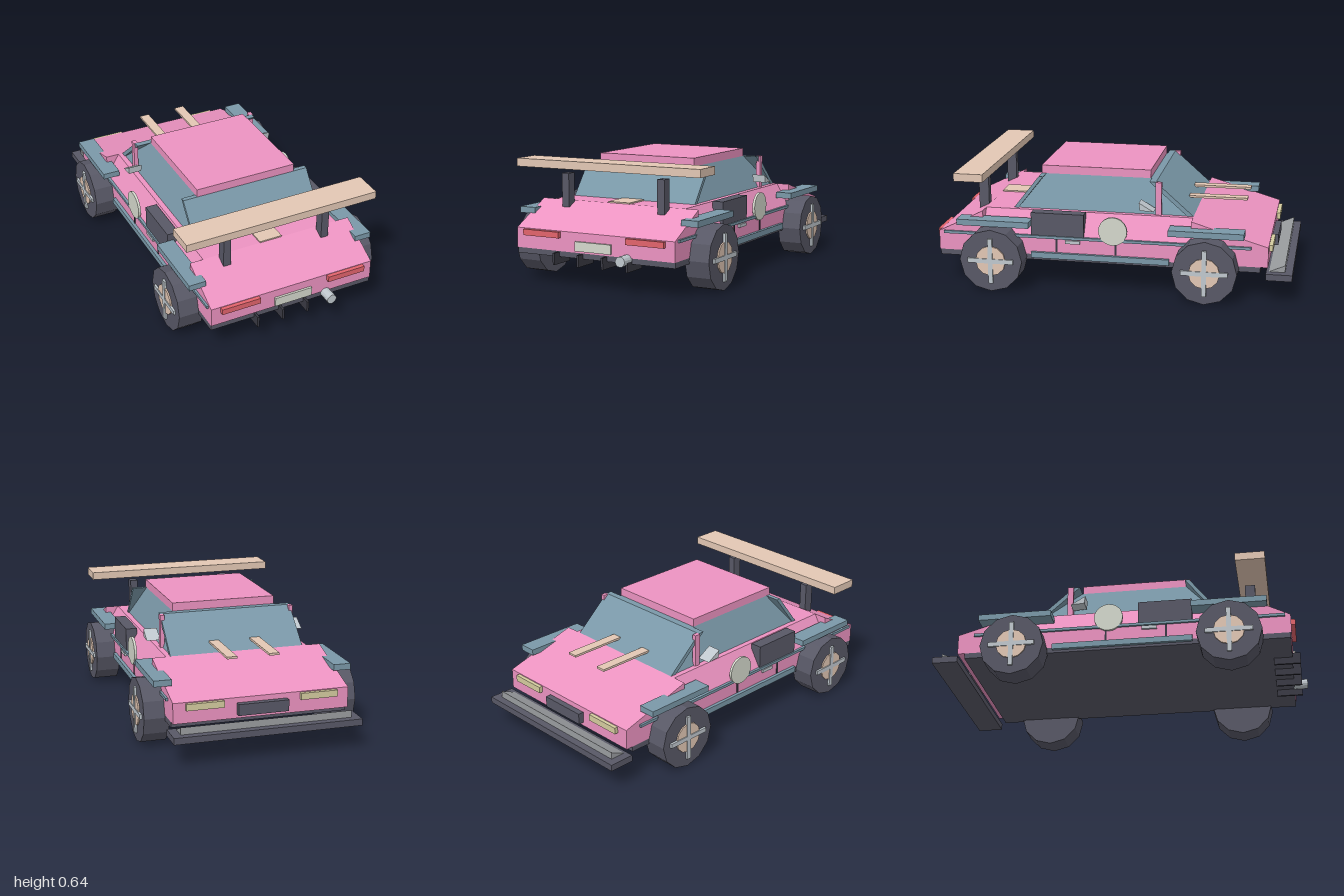
import * as THREE from 'three';

const mat = (color) => new THREE.MeshStandardMaterial({ color, flatShading: true });

export function createModel() {
  const car = new THREE.Group();
  car.name = 'car';
  const pink = mat(0xec93c1), blue = mat(0x7a98a8), dark = mat(0x585866), black = mat(0x3a3a44);
  const peach = mat(0xe2c7b4), silver = mat(0xc0c8ce), pale = mat(0xd4d8cc);
  const red = mat(0xe2646c), cream = mat(0xd5cc9f), grey = mat(0x9a9da0);

  const add = (name, geo, m) => {
    const mesh = new THREE.Mesh(geo, m);
    mesh.name = name;
    car.add(mesh);
    return mesh;
  };
  // box from its min and max along each axis
  const box = (name, m, x0, x1, y0, y1, z0, z1) =>
    add(name, new THREE.BoxGeometry(Math.abs(x1 - x0), y1 - y0, z1 - z0)
      .translate((x0 + x1) / 2, (y0 + y1) / 2, (z0 + z1) / 2), m);
  const pairBox = (name, m, x0, x1, ...rest) => {
    box(name + 'Left', m, x0, x1, ...rest);
    box(name + 'Right', m, -x1, -x0, ...rest);
  };
  const extrude = (pts, depth) => new THREE.ExtrudeGeometry(
    new THREE.Shape(pts.map(([a, b]) => new THREE.Vector2(a, b))), { depth, bevelEnabled: false });
  // side profile of (z, y) points, extruded across x
  const prism = (name, m, pts, x0, x1) =>
    add(name, extrude(pts, x1 - x0).rotateY(-Math.PI / 2).translate(x1, 0, 0), m);
  // cylinder lying along x
  const disc = (name, m, r, x, y, z, w, sides) =>
    add(name, new THREE.CylinderGeometry(r, r, w, sides).rotateZ(Math.PI / 2).translate(x, y, z), m);

  // body
  box('chassis', dark, -0.47, 0.47, 0.16, 0.19, -0.83, 0.925);
  box('lowerBody', pink, -0.47, 0.47, 0.19, 0.295, -0.87, 0.93);
  prism('hood', pink, [[-0.87, 0.295], [-0.46, 0.295], [-0.46, 0.42], [-0.87, 0.3]], -0.47, 0.47);
  prism('rearDeck', pink, [[0.68, 0.295], [0.93, 0.295], [0.68, 0.42]], -0.47, 0.47);
  add('shoulders', extrude([[-0.47, 0.295], [0.47, 0.295], [0.395, 0.42], [-0.395, 0.42]], 1.14)
    .translate(0, 0, -0.46), pink);
  pairBox('sideTrim', blue, 0.46, 0.482, 0.285, 0.3, -0.78, 0.9);
  pairBox('sideSkirt', blue, 0.45, 0.488, 0.175, 0.207, -0.345, 0.41);

  // cabin glass: a box tapered at the top, with full-width front and rear panes
  const glass = new THREE.BoxGeometry(1, 0.18, 1).translate(0, 0.51, 0);
  const p = glass.attributes.position;
  for (let i = 0; i < p.count; i++) {
    const top = p.getY(i) > 0.5, back = p.getZ(i) > 0;
    p.setX(i, Math.sign(p.getX(i)) * (top ? 0.29 : 0.365));
    p.setZ(i, back ? (top ? 0.38 : 0.52) : (top ? -0.24 : -0.45));
  }
  glass.computeVertexNormals();
  add('sideWindows', glass, blue);
  prism('windshield', blue, [[-0.46, 0.42], [-0.425, 0.42], [-0.22, 0.6], [-0.255, 0.6]], -0.37, 0.37);
  prism('rearWindow', blue, [[0.505, 0.42], [0.53, 0.42], [0.39, 0.6], [0.365, 0.6]], -0.37, 0.37);
  box('roof', pink, -0.29, 0.29, 0.6, 0.645, -0.215, 0.39);
  pairBox('pillar', pink, 0.355, 0.378, 0.42, 0.6, -0.287, -0.255);

  // wheels and fenders
  for (const z of [-0.545, 0.61]) {
    pairBox('fender', blue, 0.44, 0.535, 0.352, 0.385, z - 0.2, z + 0.2);
    for (const s of [-1, 1]) {
      disc('tire', dark, 0.1725, s * 0.5125, 0.175, z, 0.135, 12);
      disc('hub', peach, 0.083, s * 0.58, 0.175, z, 0.015, 12);
      const a = s * 0.572, b = s * 0.592;
      box('spokeVertical', silver, a, b, 0.05, 0.3, z - 0.0125, z + 0.0125);
      box('spokeHorizontal', silver, a, b, 0.1625, 0.1875, z - 0.125, z + 0.125);
    }
  }

  // side details
  pairBox('sideScoop', dark, 0.41, 0.474, 0.295, 0.426, 0.12, 0.41);
  for (const z of [-0.055, 0.27]) pairBox('doorSeam', black, 0.46, 0.474, 0.21, 0.29, z - 0.005, z + 0.005);
  pairBox('doorHandle', silver, 0.46, 0.482, 0.262, 0.28, 0.14, 0.22);
  for (const s of [-1, 1]) {
    disc('doorRoundel', pale, 0.078, s * 0.476, 0.345, -0.04, 0.014, 20);
    prism('mirror', silver, [[-0.255, 0.455], [-0.18, 0.46], [-0.175, 0.502]],
      s > 0 ? 0.37 : -0.445, s > 0 ? 0.445 : -0.37);
  }

  // nose
  box('splitter', dark, -0.5, 0.5, 0.13, 0.165, -1, -0.86);
  prism('splitterRamp', grey, [[-0.96, 0.165], [-0.875, 0.165], [-0.96, 0.203]], -0.455, 0.455);
  pairBox('headlight', cream, 0.205, 0.405, 0.26, 0.295, -0.89, -0.865);
  box('grille', dark, -0.135, 0.135, 0.212, 0.272, -0.902, -0.865);
  pairBox('hoodStripe', peach, 0.087, 0.142, 0.46, 0.472, -0.727, -0.405);

  // tail
  box('wing', peach, -0.548, 0.548, 0.6, 0.643, 0.653, 0.813);
  pairBox('wingStrut', dark, 0.267, 0.309, 0.39, 0.57, 0.69, 0.745);
  box('deckPanel', peach, -0.065, 0.065, 0.41, 0.427, 0.53, 0.68);
  pairBox('tailLight', red, 0.2, 0.417, 0.26, 0.292, 0.92, 0.952);
  box('rearPlate', pale, -0.107, 0.107, 0.2, 0.25, 0.92, 0.942);
  for (let i = 0; i < 4; i++) {
    const x = -0.218 + i * 0.145;
    box('diffuserFin', black, x - 0.006, x + 0.006, 0.123, 0.185, 0.825, 0.968);
  }
  add('exhaust', new THREE.CylinderGeometry(0.027, 0.027, 0.08, 14).rotateX(Math.PI / 2)
    .translate(0.197, 0.181, 0.96), silver);

  return car;
}
